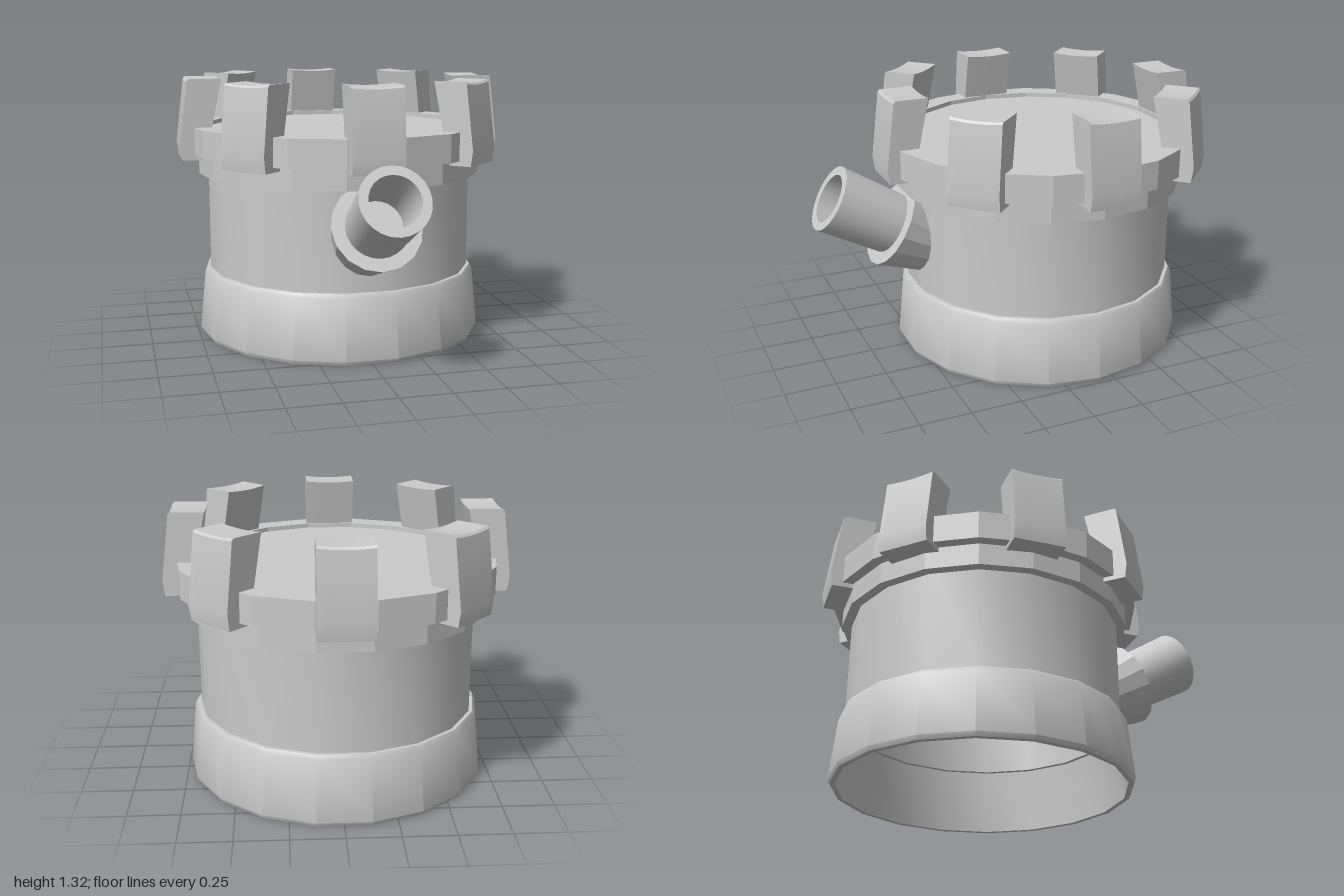
import * as THREE from 'three';
import { toCreasedNormals } from 'three/addons/utils/BufferGeometryUtils.js';

const SIDES = 18;
const material = new THREE.MeshStandardMaterial({ color: 0xcccccc });

// Revolved part; profile runs up the outside, then down the inside
function revolve(name, profile, sides, crease, start = 0) {
  const points = profile.map(([r, y]) => new THREE.Vector2(r, y));
  const geometry = new THREE.LatheGeometry(points, sides, start);
  const mesh = new THREE.Mesh(toCreasedNormals(geometry, crease), material);
  mesh.name = name;
  return mesh;
}

// Leaning block with a slightly dished top, radial direction along x
function merlonGeometry() {
  const width = 0.25;
  const shape = new THREE.Shape([
    [0.705, 0.925], [0.82, 0.925], [0.83, 1.0], [0.79, 1.317],
    [0.78, 1.327], [0.62, 1.327],
  ].map(([x, y]) => new THREE.Vector2(x, y)));
  const geometry = new THREE.ExtrudeGeometry(shape, { depth: width, steps: 6, bevelEnabled: false });
  geometry.translate(0, 0, -width / 2);
  const p = geometry.attributes.position;
  for (let i = 0; i < p.count; i++) {
    const t = p.getZ(i) / (width / 2);
    if (p.getY(i) > 1.3) p.setY(i, p.getY(i) - 0.008 * (1 - t * t));
  }
  return toCreasedNormals(geometry, 0.3);
}

export function createModel() {
  const model = new THREE.Group();
  model.name = 'tower';

  const tower = new THREE.Group();
  tower.name = 'towerBody';
  tower.position.z = -0.17;
  model.add(tower);
  const start = Math.PI / SIDES;

  // Flared skirt, open underneath
  tower.add(revolve('skirt', [
    [0.705, 0.005], [0.73, 0.005], [0.74, 0.025], [0.71, 0.325], [0.697, 0.345],
    [0.675, 0.345], [0.705, 0.005],
  ], SIDES, 0.6, start));

  // Hollow drum wall with a closed ceiling
  tower.add(revolve('drum', [
    [0.655, 0.33], [0.68, 0.33], [0.68, 0.86], [0.655, 0.86], [0.655, 0.33],
  ], SIDES, 0.6, start));
  tower.add(revolve('ceiling', [
    [0, 0.86], [0.69, 0.86], [0.69, 1.065], [0, 1.065],
  ], SIDES, 0.2, start));

  // Stepped collar and the raised rim around the roof
  tower.add(revolve('collar', [
    [0.655, 0.84], [0.728, 0.84], [0.728, 0.96], [0.655, 0.96], [0.655, 0.84],
  ], SIDES, 0.2, start));
  tower.add(revolve('rim', [
    [0.67, 0.948], [0.78, 0.948], [0.78, 1.087], [0.67, 1.087], [0.67, 0.948],
  ], SIDES, 0.2, start));

  // Eight battlements
  const block = merlonGeometry();
  for (let i = 0; i < 8; i++) {
    const merlon = new THREE.Mesh(block, material);
    merlon.name = 'merlon' + (i + 1);
    merlon.rotation.y = i * Math.PI / 4;
    tower.add(merlon);
  }

  // Angled spout: tapered flange against the wall, then a hollow tube
  const spout = new THREE.Group();
  spout.name = 'spout';
  spout.position.set(0, 0.857, 0.9175);
  spout.rotation.x = Math.PI / 3;
  spout.add(revolve('spoutFlange', [
    [0, -0.6], [0.163, -0.6], [0.217, -0.342], [0.14, -0.342],
  ], 16, 0.2));
  spout.add(revolve('spoutTube', [
    [0.152, -0.4], [0.153, -0.3], [0.164, 0], [0.12, 0], [0.12, -0.33], [0, -0.33],
  ], 24, 0.6));
  model.add(spout);

  return model;
}
